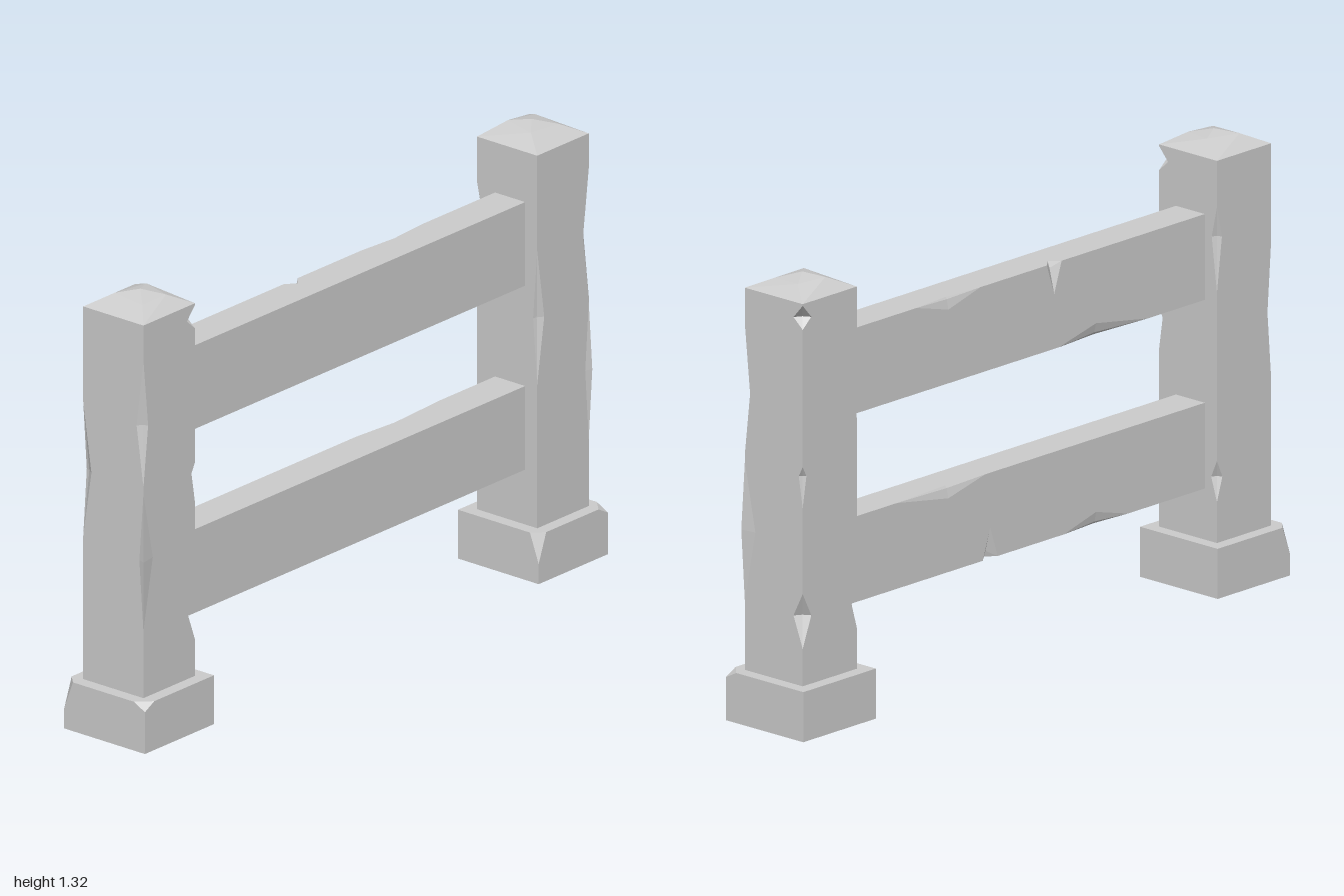
import * as THREE from 'three';

const material = new THREE.MeshStandardMaterial({ color: 0xcccccc, flatShading: true, side: THREE.DoubleSide });
// Corner order of every bar: front left, front right, back right, back left
const SIGNS = [[-1, 1], [1, 1], [1, -1], [-1, -1]];

function meshFrom(name, positions) {
  const geometry = new THREE.BufferGeometry();
  geometry.setAttribute('position', new THREE.Float32BufferAttribute(positions, 3));
  geometry.computeVertexNormals();
  const mesh = new THREE.Mesh(geometry, material);
  mesh.name = name;
  return mesh;
}

// Upright bar with chipped edges. chips[corner] lists, from bottom to top,
// [yBottom, yMiddle, yTop, reach on the next side, reach on the previous side, depth].
// A chip whose middle equals the height cuts off the top corner.
function chippedBar(name, w, d, h, chips, { hole = 0, top = true } = {}) {
  const out = [];
  const tri = (...points) => points.forEach((p) => out.push(p.x, p.y, p.z));
  const corners = SIGNS.map(([sx, sz]) => new THREE.Vector3(sx * w / 2, 0, sz * d / 2));
  const at = (k, u, y) => {
    const a = corners[k], b = corners[(k + 1) % 4];
    return a.clone().addScaledVector(b.clone().sub(a).normalize(), u).setY(y);
  };
  const fill = (contour, holes, place) => {
    const all = [contour, ...holes].flat();
    THREE.ShapeUtils.triangulateShape(contour, holes)
      .forEach((f) => tri(...f.map((i) => place(all[i]))));
  };
  const rim = [];

  for (let k = 0; k < 4; k++) {
    const width = k % 2 ? d : w, prev = (k + 3) % 4, prevWidth = k % 2 ? w : d;
    // Outline of one edge of a side, notched by its chips
    const edge = (list, reach, toU) => {
      const pts = [new THREE.Vector2(toU(0), 0)];
      let cut = false;
      for (const c of list) {
        pts.push(new THREE.Vector2(toU(0), c[0]), new THREE.Vector2(toU(c[reach]), c[1]));
        if (c[1] < h) pts.push(new THREE.Vector2(toU(0), c[2]));
        else cut = true;
      }
      if (!cut) pts.push(new THREE.Vector2(toU(0), h));
      return pts;
    };
    const left = edge(chips[k] || [], 3, (u) => u);
    const right = edge(chips[(k + 1) % 4] || [], 4, (u) => width - u);
    fill([...right, ...left.reverse()], [], (p) => at(k, p.x, p.y));

    // Broken faces inside the chips
    let rimCut = false;
    for (const [y0, y1, y2, a, b, depth] of chips[k] || []) {
      const lo = at(k, 0, y0), hi = at(k, 0, y2);
      const P = at(k, a, y1), Q = at(prev, prevWidth - b, y1);
      if (y1 >= h) {
        tri(lo, P, Q);
        rim.push(Q, P);
        rimCut = true;
        continue;
      }
      const I = corners[k].clone().setY(y1);
      I.x -= SIGNS[k][0] * depth;
      I.z -= SIGNS[k][1] * depth;
      tri(lo, P, I, P, hi, I, lo, I, Q, I, hi, Q);
    }
    if (!rimCut) rim.push(at(k, 0, h));
  }

  // Top, with an optional square opening
  if (top) {
    const flat = rim.map((p) => new THREE.Vector2(p.x, -p.z));
    const inner = SIGNS.map(([sx, sz]) => new THREE.Vector2(sx * hole, sz * hole));
    fill(flat, hole ? [inner] : [], (p) => new THREE.Vector3(p.x, h, -p.y));
  }
  return meshFrom(name, out);
}

// Rough faceted dome on a post
function cap() {
  const low = SIGNS.map(([sx, sz]) => [sx * 0.11, 0, sz * 0.11]);
  const ring = [[-0.05, 0.029, 0.055], [0.045, 0.033, 0.06], [0.065, 0.037, -0.03], [-0.04, 0.034, -0.055]];
  const peak = [0.005, 0.047, 0];
  const out = [];
  for (let k = 0; k < 4; k++) {
    const n = (k + 1) % 4;
    out.push(...low[k], ...low[n], ...ring[n], ...low[k], ...ring[n], ...ring[k]);
    out.push(...ring[k], ...ring[n], ...peak);
  }
  return meshFrom('postCap', out);
}

// Post standing in a hollow foot block
function post(name) {
  const group = new THREE.Group();
  group.name = name;
  const foot = chippedBar('foot', 0.295, 0.295, 0.146, [
    [[0.125, 0.146, 0.146, 0.04, 0.04, 0]], null, null,
    [[0.06, 0.146, 0.146, 0.032, 0.032, 0]],
  ], { hole: 0.11 });
  const shaft = chippedBar('postShaft', 0.22, 0.22, 1.115, [
    [[0.2, 0.41, 0.61, 0.04, 0.015, -0.007], [0.63, 0.81, 1.01, 0.02, 0.025, 0.014]],
    [[0.11, 0.2, 0.27, 0.035, 0.035, 0.022], [0.52, 0.61, 0.64, 0.015, 0.015, 0.011], [1.04, 1.07, 1.11, 0.035, 0.035, 0.022]],
    [[0.12, 0.19, 0.24, 0.022, 0.022, 0.014], [0.73, 0.89, 0.98, 0.02, 0.02, 0.014]],
    [[0.43, 0.625, 0.83, 0.03, 0.015, 0.012]],
  ], { top: false });
  shaft.position.y = 0.145;
  const dome = cap();
  dome.position.y = 1.26;
  group.add(foot, shaft, dome);
  return group;
}

// Horizontal rail with broken rear edges
function rail(name, y) {
  const group = new THREE.Group();
  group.name = name;
  const length = 1.5, m = length / 2;
  const bar = chippedBar('railBar', 0.25, 0.11, length, [
    null, null,
    [[m - 0.51, m - 0.3, m - 0.15, 0.035, 0.012, 0.007]],
    [[m - 0.16, m - 0.13, m - 0.1, 0.025, 0.09, 0.018], [m + 0.17, m + 0.3, m + 0.43, 0.01, 0.035, 0.006]],
  ]);
  bar.rotation.z = -Math.PI / 2;
  bar.position.x = -m;
  group.add(bar);
  group.position.y = y;
  return group;
}

export function createModel() {
  const model = new THREE.Group();
  model.name = 'fence';

  const rightPost = post('rightPost');
  rightPost.position.set(-0.852, 0.015, 0.009);
  const leftPost = post('leftPost');
  leftPost.position.set(0.852, 0, -0.011);
  leftPost.rotation.y = Math.PI / 2;

  const upperRail = rail('upperRail', 0.985);
  const lowerRail = rail('lowerRail', 0.435);
  lowerRail.rotation.z = Math.PI;

  model.add(rightPost, leftPost, upperRail, lowerRail);
  return model;
}
